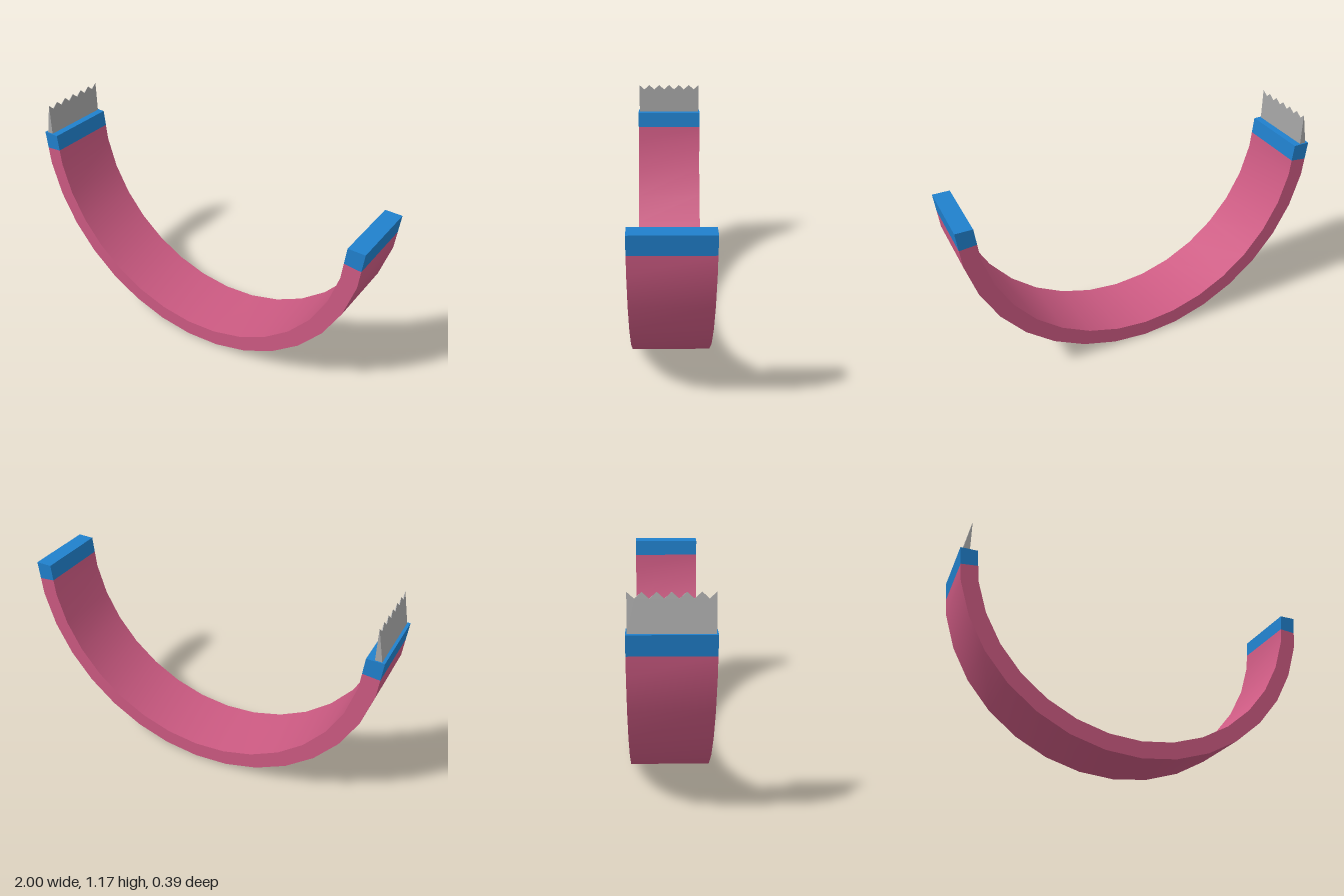
import * as THREE from 'three';
import { toCreasedNormals } from 'three/addons/utils/BufferGeometryUtils.js';

const OUTER = 1, INNER = 0.91, HALF_DEPTH = 0.195, SEGMENTS = 16;

export function createModel() {
  const group = new THREE.Group();
  const pink = new THREE.MeshStandardMaterial({ name: 'pink', color: 0xcc5a82 });
  const blue = new THREE.MeshStandardMaterial({ name: 'blue', color: 0x2080cc });
  const grey = new THREE.MeshStandardMaterial({ name: 'grey', color: 0xa8a8a8 });

  const add = (name, geometry, material) => {
    const mesh = new THREE.Mesh(geometry, material);
    mesh.name = name;
    group.add(mesh);
  };

  // Point on the faceted half circle; fractional steps lie on the chord
  const corner = (r, i) => {
    const a = Math.PI * (1 + i / SEGMENTS);
    return new THREE.Vector2(r * Math.cos(a), 1 + r * Math.sin(a));
  };
  const pointAt = (r, t) => {
    const i = Math.floor(t);
    return corner(r, i).lerp(corner(r, i + 1), t - i);
  };

  // Strip of the half ring through the given steps
  const strip = (steps) => {
    const outline = [
      ...steps.map((t) => pointAt(OUTER, t)),
      ...[...steps].reverse().map((t) => pointAt(INNER, t)),
    ];
    const geo = new THREE.ExtrudeGeometry(new THREE.Shape(outline), {
      depth: HALF_DEPTH * 2, bevelEnabled: false,
    });
    geo.translate(0, 0, -HALF_DEPTH);
    return toCreasedNormals(geo, 0.5);
  };

  // Curved band and its two end caps
  const bandSteps = [0.5];
  for (let i = 1; i < SEGMENTS; i++) bandSteps.push(i);
  bandSteps.push(SEGMENTS - 0.5);
  add('band', strip(bandSteps), pink);
  add('rightCap', strip([0, 0.5]), blue);
  add('leftCap', strip([SEGMENTS - 0.5, SEGMENTS]), blue);

  // Serrated blade, tapering from its base to the tooth tips
  const half = 0.188, tip = 1.172, valley = 1.143, teeth = 6, thick = 0.035;
  const shape = new THREE.Shape();
  shape.moveTo(-half, 1);
  shape.lineTo(half, 1);
  for (let i = 0; i <= teeth * 2; i++) {
    shape.lineTo(half - (half * i) / teeth, i % 2 ? valley : tip);
  }
  shape.closePath();
  const blade = new THREE.ExtrudeGeometry(shape, { depth: thick, bevelEnabled: false });
  const pos = blade.attributes.position;
  for (let i = 0; i < pos.count; i++) {
    pos.setZ(i, pos.getZ(i) * (tip + 0.002 - pos.getY(i)) / (tip + 0.002 - 1));
  }
  blade.computeVertexNormals();
  blade.rotateY(-Math.PI / 2);
  blade.translate(-0.95, 0, 0);
  add('serratedBlade', blade, grey);

  return group;
}
